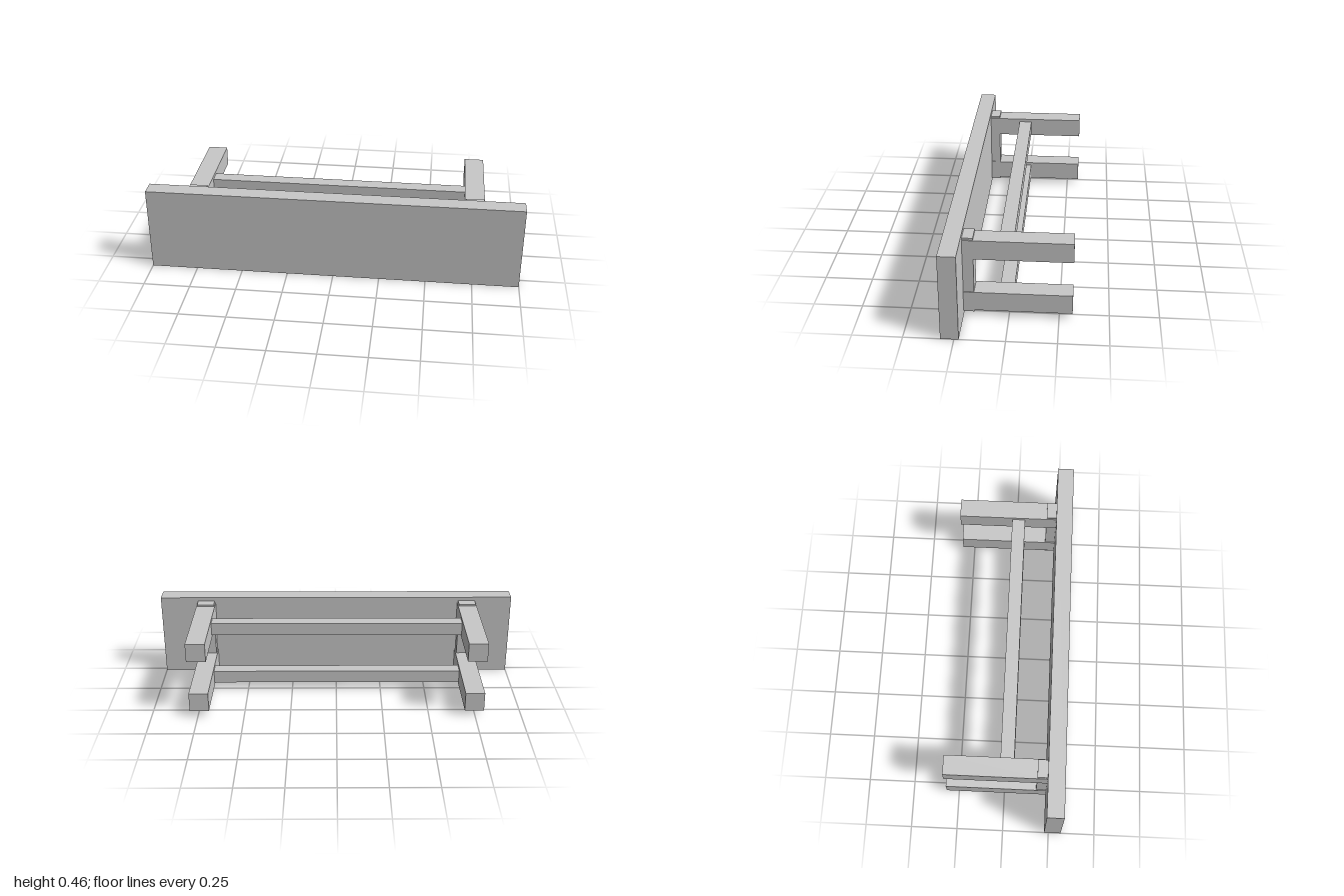
import * as THREE from 'three';

// Bench resting on the long edge of its seat
export function createModel() {
  const group = new THREE.Group();
  const grey = new THREE.MeshStandardMaterial({ color: 0xc8c8c8 });
  grey.name = 'light grey';

  // Box given by its extents along each axis
  function addBox(name, [x0, x1], [y0, y1], [z0, z1]) {
    const mesh = new THREE.Mesh(new THREE.BoxGeometry(x1 - x0, y1 - y0, z1 - z0), grey);
    mesh.position.set((x0 + x1) / 2, (y0 + y1) / 2, (z0 + z1) / 2);
    mesh.name = name;
    group.add(mesh);
  }

  // Seat board, its top facing +z
  addBox('seat', [-1, 1], [0, 0.464], [0.227, 0.317]);

  // A cross rail under each end of the seat, with a pair of legs
  const legRows = [[0.033, 0.137], [0.328, 0.432]];
  for (const [side, x0, x1] of [['right', -0.797, -0.693], ['left', 0.689, 0.793]]) {
    addBox(side + 'CrossRail', [x0 + 0.005, x1 - 0.005], [0.021, 0.443], [0.173, 0.227]);
    for (const row of legRows) addBox(side + 'Leg', [x0, x1], row, [-0.317, 0.227]);
  }

  // Long stretchers joining the legs
  for (const [y0, y1] of legRows) {
    addBox('stretcher', [-0.693, 0.689], [y0 + 0.017, y1 - 0.017], [-0.022, 0.05]);
  }
  return group;
}
